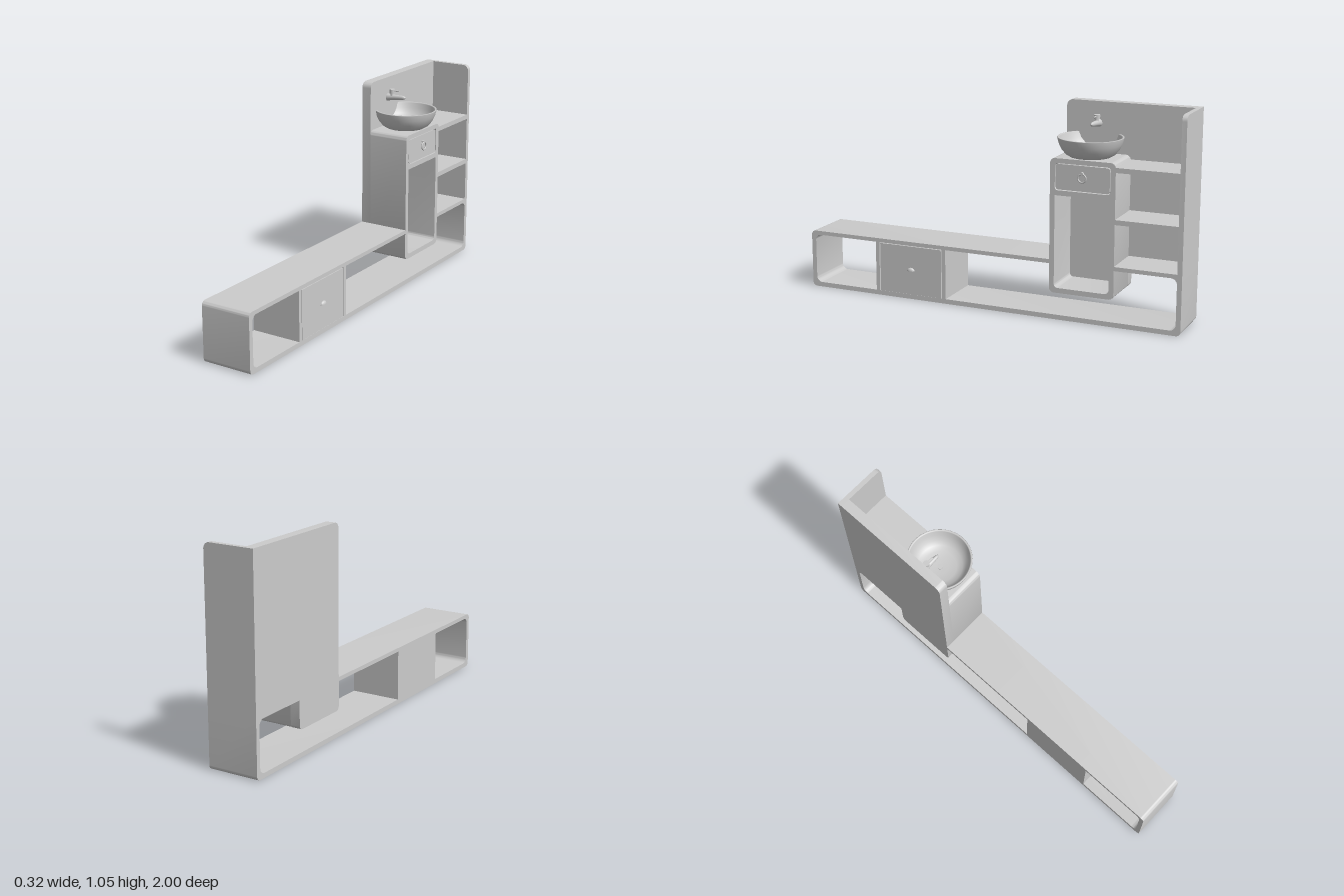
import * as THREE from 'three';
import { toCreasedNormals } from 'three/addons/utils/BufferGeometryUtils.js';

const BACK = -0.16, FRONT = 0.104, PANEL = -0.11;
const material = new THREE.MeshStandardMaterial({ color: 0xcccccc });

// Closed outline from [u, v, cornerRadius] points.
function outline(points, Type = THREE.Shape) {
  const path = new Type();
  const n = points.length;
  points.forEach(([u, v, r = 0], i) => {
    const p = new THREE.Vector2(u, v);
    const toward = (q) => new THREE.Vector2(q[0], q[1]).sub(p).setLength(r).add(p);
    const a = toward(points[(i + n - 1) % n]);
    const b = toward(points[(i + 1) % n]);
    if (i === 0) path.moveTo(a.x, a.y); else path.lineTo(a.x, a.y);
    if (r > 0) path.bezierCurveTo(
      a.x + (u - a.x) * 0.55, a.y + (v - a.y) * 0.55,
      b.x + (u - b.x) * 0.55, b.y + (v - b.y) * 0.55, b.x, b.y);
  });
  path.closePath();
  return path;
}

const rect = (u0, v0, u1, v1, rBottom = 0, rTop = rBottom) =>
  [[u0, v0, rBottom], [u1, v0, rBottom], [u1, v1, rTop], [u0, v1, rTop]];

export function createModel() {
  const group = new THREE.Group();

  function add(name, geometry, x = 0, y = 0, z = 0) {
    const mesh = new THREE.Mesh(geometry, material);
    mesh.name = name;
    mesh.position.set(x, y, z);
    group.add(mesh);
    return mesh;
  }

  // Side profile (u = -z, v = y) extruded across x.
  function slab(name, points, x0, x1, holes = []) {
    const shape = outline(points);
    shape.holes = holes.map((h) => outline(h, THREE.Path));
    const geo = new THREE.ExtrudeGeometry(shape, { depth: x1 - x0, bevelEnabled: false, curveSegments: 8 });
    geo.rotateY(Math.PI / 2);
    return add(name, toCreasedNormals(geo, 0.6), x0);
  }

  // Long low frame, open where the cabinet passes through it
  slab('lowFrame', [
    [-1, 0, 0.022], [1, 0, 0.022], [1, 0.3], [0.66, 0.3], [0.66, 0.28],
    [0.976, 0.28, 0.03], [0.976, 0.024, 0.03], [-0.976, 0.024, 0.03], [-0.976, 0.28, 0.03],
    [0.34, 0.28], [0.34, 0.3], [-1, 0.3, 0.022],
  ], BACK, FRONT);

  // Tall end panel with a rounded upper front corner
  const endShape = outline([[BACK, 0.3], [FRONT, 0.3], [FRONT, 1.05, 0.03], [BACK, 1.05]]);
  const endGeo = new THREE.ExtrudeGeometry(endShape, { depth: 0.024, bevelEnabled: false, curveSegments: 8 });
  add('endPanel', toCreasedNormals(endGeo, 0.6), 0, 0, -1);

  // Back panel behind cabinet, basin and shelves
  slab('backPanel', [
    [0.335, 0.135, 0.022], [0.665, 0.135, 0.022], [0.665, 0.28], [0.977, 0.28],
    [0.977, 1.05], [0.335, 1.05, 0.03],
  ], BACK, PANEL);

  // Shelves between the cabinet and the end panel
  for (const y of [0.505, 0.755]) slab('shelf', rect(0.66, y, 0.977, y + 0.024), PANEL, FRONT);

  // Cabinet shell with drawer opening and open compartment
  slab('cabinet', rect(0.335, 0.135, 0.665, 0.8, 0.025), PANEL, FRONT, [
    rect(0.36, 0.16, 0.64, 0.62, 0.02, 0),
    rect(0.36, 0.645, 0.64, 0.777, 0.015),
  ]);
  slab('cabinetDrawer', rect(0.364, 0.649, 0.636, 0.773, 0.013), PANEL, FRONT - 0.002);

  // Ring pull on the drawer
  const mount = new THREE.CylinderGeometry(0.007, 0.007, 0.014, 16);
  mount.rotateZ(Math.PI / 2);
  add('drawerPullMount', mount, FRONT + 0.005, 0.737, -0.5);
  const ring = new THREE.TorusGeometry(0.02, 0.004, 10, 32);
  ring.rotateY(Math.PI / 2);
  add('drawerRingPull', ring, FRONT + 0.008, 0.715, -0.5);

  // Drawer box in the low frame
  for (const u of [-0.62, -0.245]) slab('drawerBoxSide', rect(u, 0.022, u + 0.02, 0.282), BACK, FRONT);
  slab('drawerBoxBody', rect(-0.602, 0.022, -0.243, 0.282), BACK, FRONT - 0.012);
  slab('lowDrawerFront', rect(-0.595, 0.024, -0.25, 0.276), FRONT - 0.02, FRONT - 0.001);

  // Cup pull: half dome, open underneath
  const cup = new THREE.SphereGeometry(1, 24, 8, 0, Math.PI * 2, 0, Math.PI / 2);
  cup.scale(0.012, 0.017, 0.021);
  const pull = add('lowDrawerPull', cup, FRONT - 0.001, 0.148, 0.42);
  pull.material = material.clone();
  pull.material.side = THREE.DoubleSide;

  // Round basin, its rear buried in the back panel
  const bowl = [
    [0, 0.799], [0.075, 0.799], [0.1, 0.803], [0.12, 0.815], [0.139, 0.838], [0.152, 0.865],
    [0.16, 0.895], [0.158, 0.897], [0.152, 0.897], [0.149, 0.893], [0.142, 0.868], [0.128, 0.842],
    [0.108, 0.823], [0.08, 0.814], [0.04, 0.81], [0, 0.809],
  ].map(([r, y]) => new THREE.Vector2(r, y));
  const basinGeo = new THREE.LatheGeometry(bowl, 64);
  const pos = basinGeo.attributes.position;
  for (let i = 0; i < pos.count; i++) pos.setX(i, Math.max(pos.getX(i), -0.15));
  add('basin', basinGeo, 0, 0, -0.5);
  add('drain', new THREE.CylinderGeometry(0.014, 0.014, 0.006, 24), 0, 0.811, -0.5);

  // Wall tap: flared spout, cap and lever
  const spout = [
    [0.021, -0.01], [0.02, 0.004], [0.0165, 0.02], [0.0145, 0.045], [0.013, 0.07],
    [0.0115, 0.09], [0.009, 0.1], [0.005, 0.106], [0, 0.108],
  ].map(([r, y]) => new THREE.Vector2(r, y));
  const spoutGeo = new THREE.LatheGeometry(spout, 24);
  spoutGeo.rotateZ(-Math.PI / 2);
  spoutGeo.scale(1, 0.95, 0.85);
  add('tapSpout', spoutGeo, PANEL, 0.945, -0.5).rotation.z = 0.07;
  add('tapNeck', new THREE.CylinderGeometry(0.009, 0.011, 0.02, 20), -0.082, 0.962, -0.5);
  add('tapCap', new THREE.CylinderGeometry(0.015, 0.015, 0.021, 24), -0.082, 0.979, -0.5);
  const lever = new THREE.CapsuleGeometry(0.0035, 0.035, 4, 10);
  lever.rotateZ(Math.PI / 2);
  add('tapLever', lever, -0.058, 0.982, -0.5);

  return group;
}
